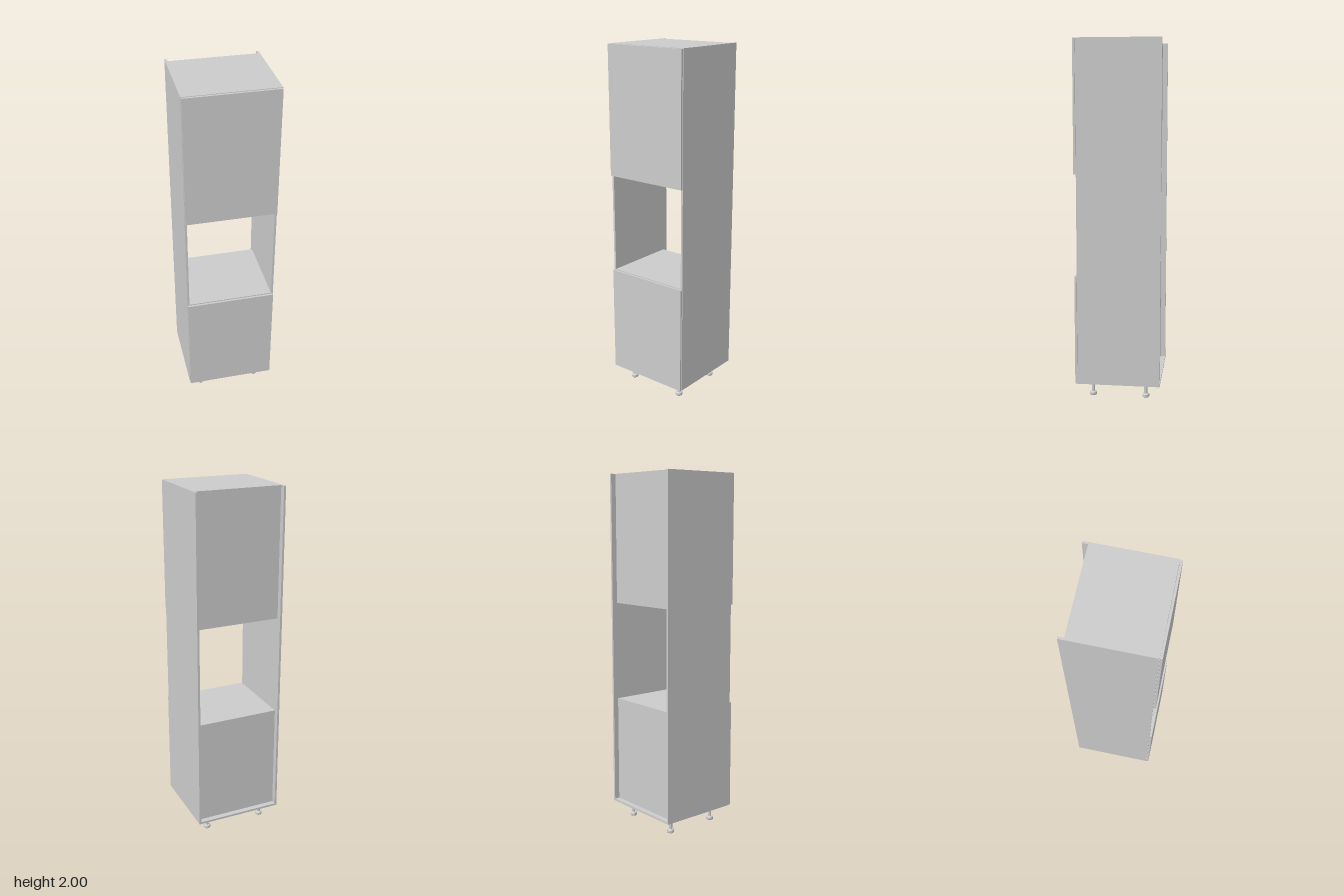
import * as THREE from 'three';

export function createModel() {
  const model = new THREE.Group();
  const material = new THREE.MeshStandardMaterial({ color: 0xcccccc });

  // Board given by its lower and upper corner
  function board(name, [x0, y0, z0], [x1, y1, z1]) {
    const mesh = new THREE.Mesh(new THREE.BoxGeometry(x1 - x0, y1 - y0, z1 - z0), material);
    mesh.position.set((x0 + x1) / 2, (y0 + y1) / 2, (z0 + z1) / 2);
    mesh.name = name;
    model.add(mesh);
  }

  const W = 0.252, T = 0.012, IN = W - T;      // half width, board thickness, inner half width
  const BASE = 0.09, TOP = 2;
  const BACK = -0.239, PANEL = -0.209, FRONT = 0.224;
  const LOW = 0.713, HIGH = 1.275;             // open niche between these heights

  // Carcass
  board('leftSide', [IN, BASE, BACK], [W, TOP, FRONT]);
  board('rightSide', [-W, BASE, BACK], [-IN, TOP, FRONT]);
  board('bottomBoard', [-IN, BASE, BACK], [IN, BASE + T, FRONT]);
  board('topBoard', [-IN, TOP - T, PANEL], [IN, TOP, FRONT]);
  board('nicheFloor', [-IN, LOW - T, PANEL], [IN, LOW, FRONT]);
  board('nicheCeiling', [-IN, HIGH, PANEL], [IN, HIGH + T, FRONT]);

  // Thin recessed back panels
  board('lowerBackPanel', [-IN, BASE + T, PANEL], [IN, LOW - 0.001, PANEL + 0.003]);
  board('upperBackPanel', [-IN, HIGH + 0.001, PANEL], [IN, TOP - 0.001, PANEL + 0.003]);

  // Doors, set just in front of the carcass
  board('lowerDoor', [-0.25, BASE + 0.001, 0.226], [0.25, 0.709, 0.238]);
  board('upperDoor', [-0.25, HIGH, 0.226], [0.25, TOP - 0.002, 0.238]);

  // Adjustable feet
  const profile = [
    [0, 0], [0.017, 0], [0.02, 0.004], [0.02, 0.016], [0.016, 0.021], [0.009, 0.022],
    [0.009, 0.073], [0.014, 0.075], [0.022, 0.077], [0.022, BASE], [0, BASE],
  ].map(([r, y]) => new THREE.Vector2(r, y));
  const footGeometry = new THREE.LatheGeometry(profile, 24).toNonIndexed();
  footGeometry.computeVertexNormals();
  for (const x of [-0.174, 0.17]) {
    for (const z of [-0.155, 0.147]) {
      const foot = new THREE.Mesh(footGeometry, material);
      foot.position.set(x, 0, z);
      foot.name = 'adjustableFoot';
      model.add(foot);
    }
  }
  return model;
}
